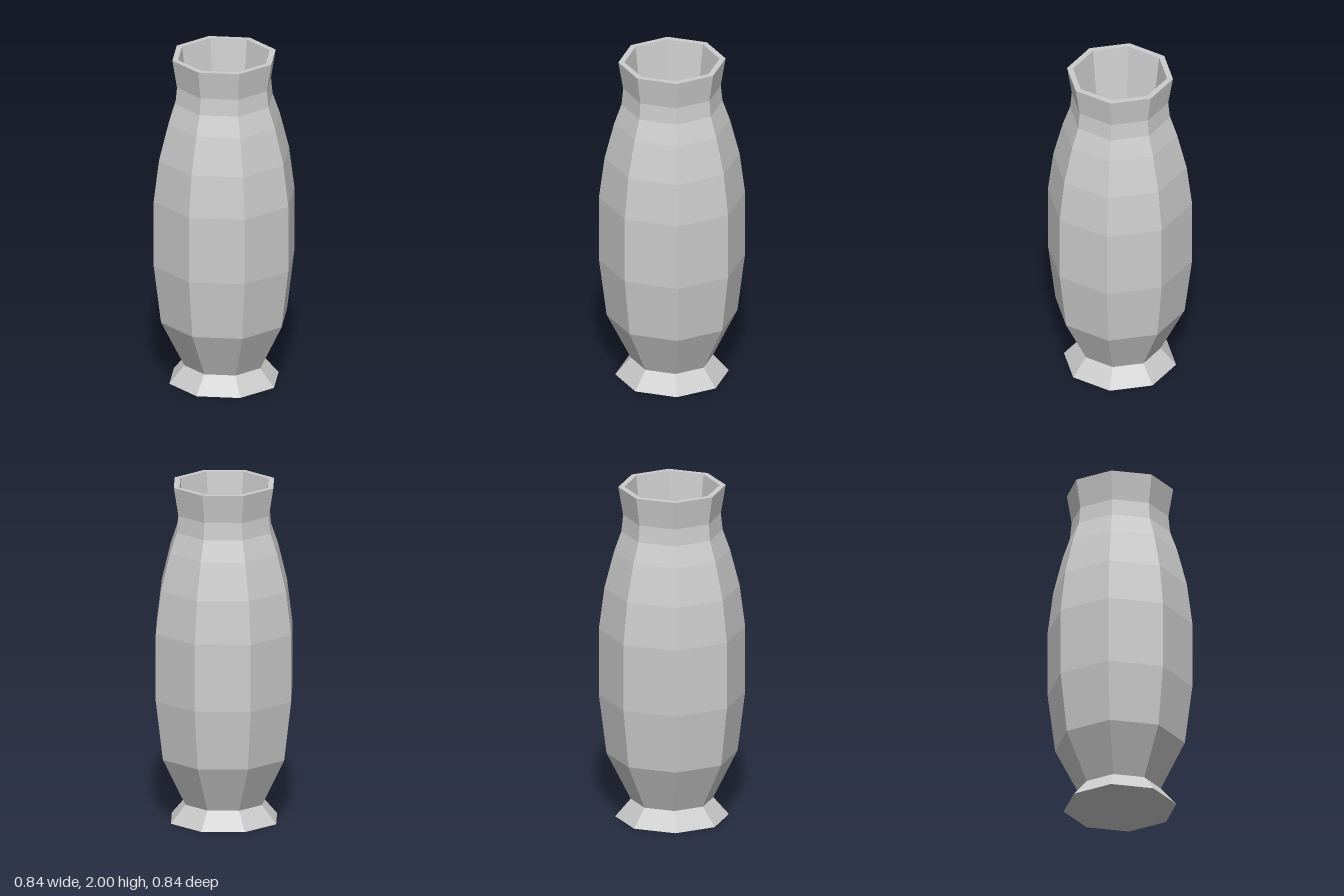
import * as THREE from 'three';

const SIDES = 8;

// Revolves a [radius, height] profile into a faceted, eight-sided surface.
function facetedLathe(name, profile) {
  const points = profile.map(([r, y]) => new THREE.Vector2(r, y));
  const geometry = new THREE.LatheGeometry(points, SIDES).toNonIndexed();
  geometry.computeVertexNormals();
  const material = new THREE.MeshStandardMaterial({ color: 0xcccccc, flatShading: true });
  const mesh = new THREE.Mesh(geometry, material);
  mesh.name = name;
  return mesh;
}

export function createModel() {
  const vase = new THREE.Group();
  vase.name = 'vase';

  // Flared foot with a closed underside
  vase.add(facetedLathe('foot', [[0, 0], [0.328, 0], [0.238, 0.105]]));

  // Swelling belly
  vase.add(facetedLathe('body', [
    [0.238, 0.105], [0.378, 0.385], [0.422, 0.74], [0.422, 1.14],
    [0.39, 1.39], [0.334, 1.61], [0.292, 1.73],
  ]));

  // Narrow neck opening out to a flat lip
  vase.add(facetedLathe('neck', [[0.292, 1.73], [0.282, 1.83], [0.31, 2], [0.275, 2]]));

  // Tapering hollow with a small flat floor
  vase.add(facetedLathe('cavity', [[0.275, 2], [0.035, 0.13], [0, 0.13]]));

  return vase;
}
